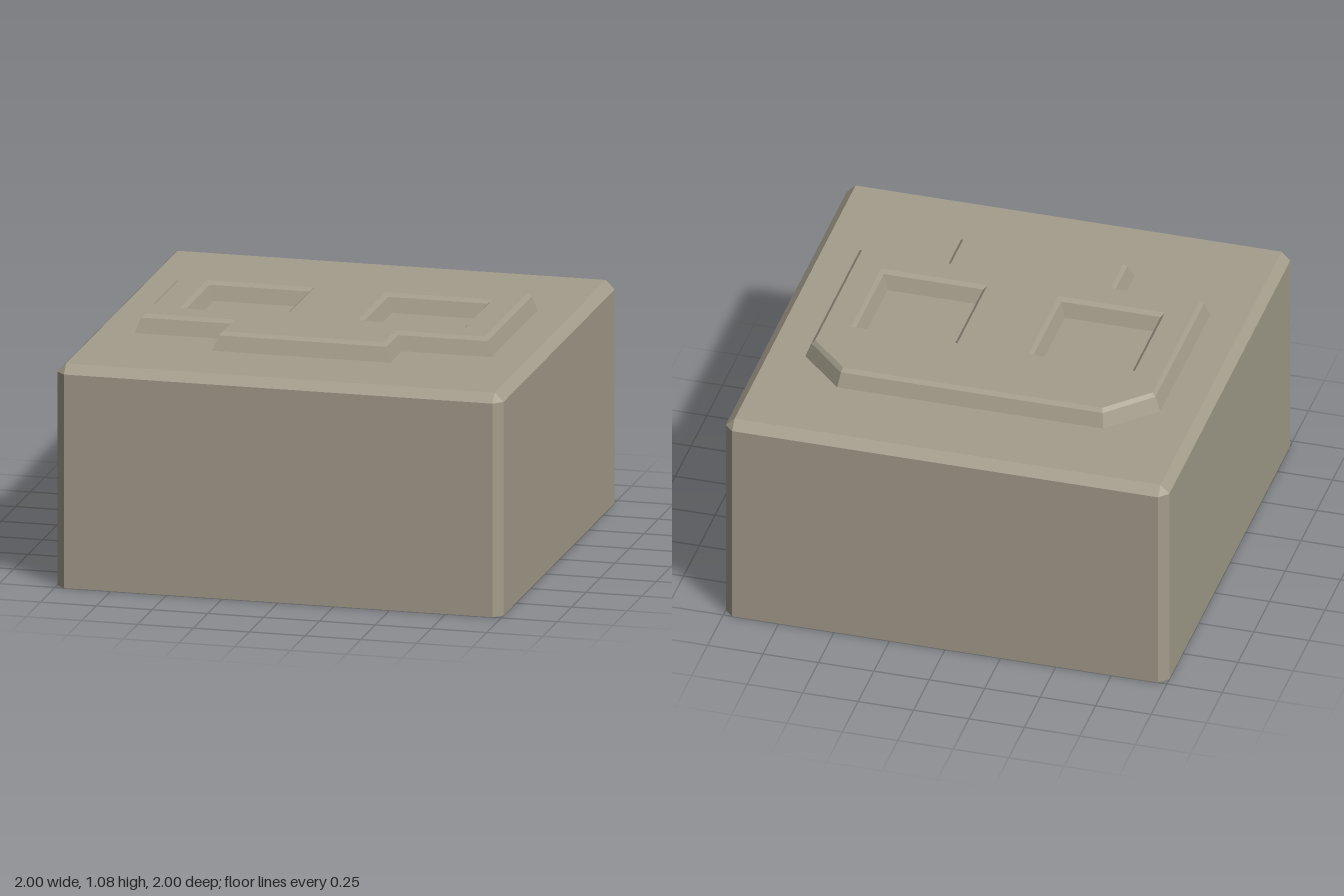
import * as THREE from 'three';

const stone = new THREE.MeshStandardMaterial({ color: 0xa39d8b, side: THREE.DoubleSide });
stone.name = 'warm grey';

// Faceted walls joining successive loops of [x, z] points at given heights
function wallGeometry(levels) {
  const pos = [];
  const tri = new THREE.Triangle();
  const add = (a, b, c) => {
    tri.set(a, b, c);
    if (tri.getArea() > 1e-7) for (const p of [a, b, c]) pos.push(p.x, p.y, p.z);
  };
  for (let l = 0; l < levels.length - 1; l++) {
    const lo = levels[l], hi = levels[l + 1], n = lo.loop.length;
    const at = (level, i) => new THREE.Vector3(level.loop[i % n][0], level.y, level.loop[i % n][1]);
    for (let i = 0; i < n; i++) {
      add(at(lo, i), at(lo, i + 1), at(hi, i + 1));
      add(at(lo, i), at(hi, i + 1), at(hi, i));
    }
  }
  const g = new THREE.BufferGeometry();
  g.setAttribute('position', new THREE.Float32BufferAttribute(pos, 3));
  g.computeVertexNormals();
  return g;
}

// Flat upward face from an [x, z] loop, with optional holes
function capGeometry(loop, y, holes = []) {
  const pts = (l) => l.map(([x, z]) => new THREE.Vector2(x, -z));
  const shape = new THREE.Shape(pts(loop));
  holes.forEach((h) => shape.holes.push(new THREE.Path(pts(h))));
  return new THREE.ShapeGeometry(shape).rotateX(-Math.PI / 2).translate(0, y, 0);
}

// Mitred offset of a loop towards its solid side
function inset(loop, d) {
  const n = loop.length;
  const normal = (a, b) => new THREE.Vector2(b[1] - a[1], a[0] - b[0]).normalize();
  return loop.map((p, i) => {
    const n1 = normal(loop[(i + n - 1) % n], p);
    const n2 = normal(p, loop[(i + 1) % n]);
    const k = d / (1 + n1.dot(n2));
    return [p[0] + (n1.x + n2.x) * k, p[1] + (n1.y + n2.y) * k];
  });
}

export function createModel() {
  const model = new THREE.Group();
  model.name = 'keycap';
  const add = (name, geometry) => {
    const mesh = new THREE.Mesh(geometry, stone);
    mesh.name = name;
    model.add(mesh);
  };

  // Open-bottomed block with chamfered edges
  const c = 0.96;
  const octagon = [[c, 1], [1, c], [1, -c], [c, -1], [-c, -1], [-1, -c], [-1, c], [-c, 1]];
  const square = octagon.map(([x, z]) => [Math.sign(x) * c, Math.sign(z) * c]);
  add('blockWalls', wallGeometry([
    { loop: octagon, y: 0 }, { loop: octagon, y: 0.96 }, { loop: square, y: 1 },
  ]));
  add('blockTop', capGeometry([[c, c], [c, -c], [-c, -c], [-c, c]], 1));

  // Raised face emblem: bevelled outline and two square eye sockets
  const outline = [
    [0.4, 0.6], [0.4, 0.4], [0.8, 0.4], [0.8, -0.4], [0.6, -0.6],
    [-0.6, -0.6], [-0.8, -0.4], [-0.8, 0.4], [-0.4, 0.4], [-0.4, 0.6],
  ];
  const eyes = [-0.4, 0.4].map((x) => [
    [x + 0.2, -0.2], [x + 0.2, 0.2], [x - 0.2, 0.2], [x - 0.2, -0.2],
  ]);
  const bevel = [[0, 1], [0.024, 1.064], [0.04, 1.08]];
  const bevelled = (loop) => wallGeometry(bevel.map(([d, y]) => ({ loop: inset(loop, d), y })));

  add('emblemRim', bevelled(outline));
  add('rightEyeSocket', bevelled(eyes[0]));
  add('leftEyeSocket', bevelled(eyes[1]));
  add('emblemTop', capGeometry(inset(outline, 0.04), 1.08, eyes.map((e) => inset(e, 0.04))));

  return model;
}
